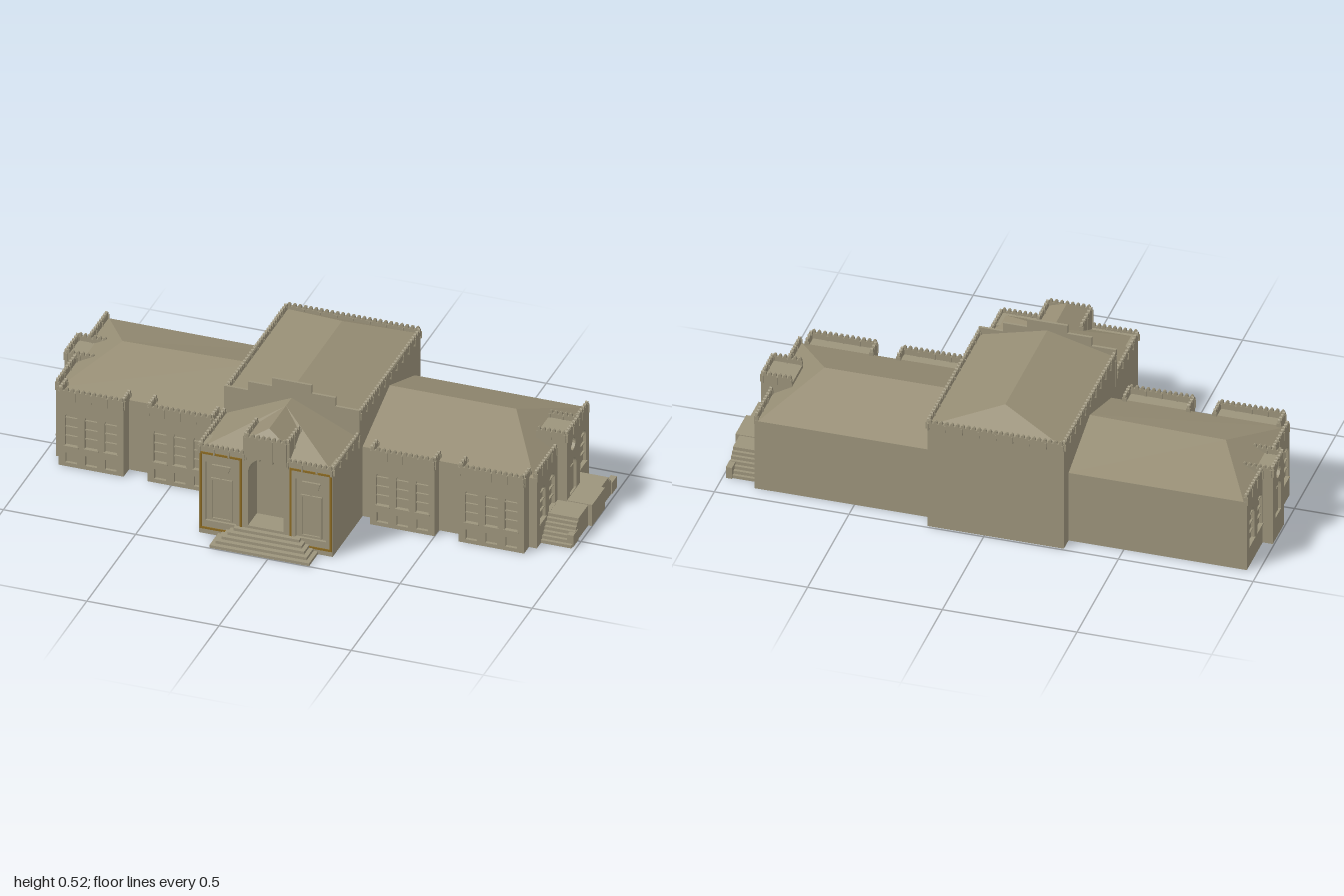
import * as THREE from 'three';

const stone = new THREE.MeshStandardMaterial({ color: 0x9c947c });
const roofMat = new THREE.MeshStandardMaterial({ color: 0x968d74, side: THREE.DoubleSide });
const gold = new THREE.MeshStandardMaterial({ color: 0x8c6a22 });
const CX = -0.042; // centre line of the hall and porch

function add(parent, name, geo, mat = stone) {
  const m = new THREE.Mesh(geo, mat);
  m.name = name;
  parent.add(m);
  return m;
}

// Box given by its limits
function block(parent, name, x0, x1, y0, y1, z0, z1, mat) {
  const g = new THREE.BoxGeometry(x1 - x0, y1 - y0, z1 - z0);
  g.translate((x0 + x1) / 2, (y0 + y1) / 2, (z0 + z1) / 2);
  return add(parent, name, g, mat);
}

const extrude = (shape, depth) =>
  new THREE.ExtrudeGeometry(shape, { depth, bevelEnabled: false, curveSegments: 8 });

function polygon(points) {
  return new THREE.Shape(points.map(([x, y]) => new THREE.Vector2(x, y)));
}

const rect = (x0, x1, y0, y1) => polygon([[x0, y0], [x1, y0], [x1, y1], [x0, y1]]);

// Round-headed opening centred on x
function arch(x, w, y0, y1) {
  const p = new THREE.Path(), r = w / 2;
  p.moveTo(x - r, y0);
  p.lineTo(x + r, y0);
  p.lineTo(x + r, y1 - r);
  p.absarc(x, y1 - r, r, 0, Math.PI, false);
  p.closePath();
  return p;
}

// Toothed parapet running from a to b in plan, with small brackets below
function parapet(parent, a, b, y0, y1, thick = 0.01) {
  const dx = b[0] - a[0], dz = b[1] - a[1], len = Math.hypot(dx, dz);
  const n = Math.max(2, Math.round(len / 0.02)), s = len / n, pts = [[0, y0], [len, y0]];
  for (let i = n - 1; i >= 0; i--) {
    const x = i * s;
    pts.push([x + s * 0.85, y1 - 0.012], [x + s * 0.75, y1 - 0.003], [x + s * 0.5, y1],
      [x + s * 0.25, y1 - 0.003], [x + s * 0.15, y1 - 0.012]);
  }
  const g = new THREE.Group();
  g.name = 'parapet';
  const wall = add(g, 'battlements', extrude(polygon(pts), thick));
  wall.position.z = -thick / 2;
  const k = Math.max(1, Math.round(len / 0.06));
  for (let i = 0; i <= k; i++) {
    const x = 0.004 + (len - 0.008) * i / k;
    block(g, 'bracket', x - 0.003, x + 0.003, y0 - 0.01, y1 - 0.015, -thick / 2 - 0.003, thick / 2 + 0.003);
  }
  g.position.set(a[0], 0, a[1]);
  g.rotation.y = Math.atan2(-dz, dx);
  parent.add(g);
}

// Hipped roof over a rectangle, ridge along 'x' or 'z' from r0 to r1
function hipRoof(parent, name, x0, x1, z0, z1, y, axis, r0, r1) {
  const p = [[x0, y, z0], [x1, y, z0], [x1, y, z1], [x0, y, z1], r0, r1];
  const faces = axis === 'x'
    ? [3, 2, 5, 3, 5, 4, 2, 1, 5, 1, 0, 4, 1, 4, 5, 0, 3, 4]
    : [2, 1, 4, 2, 4, 5, 1, 0, 4, 0, 3, 5, 0, 5, 4, 3, 2, 5];
  const g = new THREE.BufferGeometry();
  g.setAttribute('position', new THREE.Float32BufferAttribute(faces.flatMap(i => p[i]), 3));
  g.computeVertexNormals();
  add(parent, name, g, roofMat);
}

// Thin wall layer with openings; windows get glazing bars and sills
function facade(parent, x0, x1, h, windows, holes = [], depth = 0.012) {
  const g = new THREE.Group();
  g.name = 'facade';
  const shape = rect(x0, x1, 0, h);
  for (const w of windows) {
    shape.holes.push(arch(w.x, w.w, w.y0, w.y1));
    for (let i = 1; i <= 3; i++) {
      const y = w.y0 + (w.y1 - w.y0) * i * 0.27;
      block(g, 'glazingBar', w.x - w.w / 2, w.x + w.w / 2, y - 0.002, y + 0.002, 0, depth * 0.6);
    }
    block(g, 'sill', w.x - w.w / 2 - 0.004, w.x + w.w / 2 + 0.004, w.y0 - 0.006, w.y0, 0, depth + 0.004);
  }
  shape.holes.push(...holes);
  add(g, 'wallFace', extrude(shape, depth));
  parent.add(g);
  return g;
}

// Projecting front bay with three tall windows over three basement windows
function bay(parent, x0, x1, zBack, zFront) {
  const c = (x0 + x1) / 2, windows = [], holes = [];
  for (const i of [-1, 0, 1]) {
    const x = c + i * 0.075;
    windows.push({ x, w: 0.048, y0: 0.085, y1: 0.222 });
    holes.push(rect(x - 0.022, x + 0.022, 0.015, 0.055));
  }
  const g = new THREE.Group();
  g.name = 'frontBay';
  block(g, 'bayBody', x0, x1, 0, 0.285, zBack - 0.02, zFront - 0.012);
  facade(g, x0, x1, 0.285, windows, holes).position.z = zFront - 0.012;
  const zf = zFront - 0.004;
  parapet(g, [x0, zf], [x1, zf], 0.28, 0.32);
  for (const x of [x0 + 0.004, x1 - 0.004]) parapet(g, [x, zBack - 0.02], [x, zf], 0.28, 0.32);
  parent.add(g);
}

// Side wing: s is +1 or -1 for the end it faces
function wing(parent, s, xEnd, zFront, ridgeX, ridgeY, tower) {
  const g = new THREE.Group();
  g.name = s > 0 ? 'leftWing' : 'rightWing';
  const xIn = s > 0 ? 0.2 : -0.29, zBack = -0.435, zc = -0.178, eave = 0.285;
  const body = xEnd - s * 0.012;
  const [a, b] = s > 0 ? [xIn, body] : [body, xIn];
  block(g, 'wingBody', a, b, 0, eave, zBack, zFront);
  const ends = [[xIn, ridgeY + (s < 0 ? 0.01 : 0), zc], [ridgeX, ridgeY, zc]];
  hipRoof(g, 'wingRoof', a, b, zBack, zFront, eave, 'x', ...(s > 0 ? ends : ends.reverse()));

  // End wall: four arched windows either side of the entrance tower
  const wins = [0.04, -0.055, -0.28, -0.375].map(z => ({ x: -s * z, w: 0.058, y0: 0.085, y1: 0.222 }));
  const lim = [-s * zBack, -s * zFront].sort((m, n) => m - n);
  const end = facade(g, lim[0], lim[1], eave, wins);
  end.rotation.y = s * Math.PI / 2;
  end.position.x = body;
  const px = xEnd - s * 0.005;
  parapet(g, [px, zFront], [px, -0.11], 0.28, 0.318);
  parapet(g, [px, -0.245], [px, zBack], 0.28, 0.318);

  // Entrance tower with door and round window
  const { out, back, h } = tower, z0 = -0.245, z1 = -0.112;
  const core = out - s * 0.012;
  block(g, 'towerBody', Math.min(core, back), Math.max(core, back), 0, h - 0.03, z0, z1);
  const circle = new THREE.Path();
  circle.absarc(-s * zc, Math.min(0.285, h - 0.06), 0.024, 0, Math.PI * 2, false);
  const shape = facade(g, Math.min(-s * z0, -s * z1), Math.max(-s * z0, -s * z1), h - 0.03, [],
    [arch(-s * zc, 0.065, 0.09, 0.225), circle]);
  shape.rotation.y = s * Math.PI / 2;
  shape.position.x = core;
  block(g, 'door', core - 0.004, core + 0.004, 0.09, 0.19, zc - 0.024, zc + 0.024);
  const tx = out - s * 0.004;
  parapet(g, [tx, z0], [tx, z1], h - 0.035, h);
  for (const z of [z0 + 0.004, z1 - 0.004]) parapet(g, [back, z], [tx, z], h - 0.035, h);
  parent.add(g);
}

export function createModel() {
  const model = new THREE.Group();
  model.name = 'building';

  // Central hall with hipped roof
  const hall = new THREE.Group();
  hall.name = 'centralHall';
  block(hall, 'hallBody', -0.295, 0.211, 0, 0.425, -0.492, 0.135);
  hipRoof(hall, 'hallRoof', -0.295, 0.211, -0.492, 0.135, 0.425, 'z', [CX, 0.49, -0.375], [CX, 0.49, 0.135]);
  for (const x of [-0.294, 0.21]) parapet(hall, [x, -0.492], [x, 0.13], 0.42, 0.452);
  parapet(hall, [-0.295, -0.493], [0.211, -0.493], 0.42, 0.452);
  const steps = [[0.256, 0.455], [0.165, 0.49], [0.075, 0.523]];
  const outline = [[CX - 0.256, 0.3], [CX + 0.256, 0.3]];
  steps.forEach(([w, y], i) => outline.push([CX + w, i ? steps[i - 1][1] : 0.4], [CX + w, y]));
  [...steps].reverse().forEach(([w, y], i) => outline.push([CX - w, y], [CX - w, i < 2 ? steps[1 - i][1] : 0.4]));
  add(hall, 'steppedGable', extrude(polygon(outline), 0.01)).position.z = 0.131;
  model.add(hall);

  // Front porch with deep arched niche
  const porch = new THREE.Group();
  porch.name = 'frontPorch';
  block(porch, 'porchBody', -0.295, 0.211, 0, 0.345, 0.13, 0.315);
  const niche = () => arch(CX, 0.135, 0.065, 0.348);
  const front = rect(-0.295, 0.211, 0, 0.352);
  front.holes.push(niche());
  add(porch, 'nicheWall', extrude(front, 0.082)).position.z = 0.315;
  const skin = rect(-0.295, 0.211, 0, 0.352);
  skin.holes.push(niche());
  for (const s of [-1, 1]) skin.holes.push(rect(CX + s * 0.17 - 0.058, CX + s * 0.17 + 0.058, 0.055, 0.295));
  add(porch, 'porchFace', extrude(skin, 0.01)).position.z = 0.397;
  for (const s of [-1, 1]) {
    const x = CX + s * 0.17;
    const frame = rect(x - 0.08, x + 0.08, 0.02, 0.335);
    frame.holes.push(rect(x - 0.072, x + 0.072, 0.028, 0.327));
    add(porch, 'goldFrame', extrude(frame, 0.003), gold).position.z = 0.407;
    const panel = rect(x - 0.04, x + 0.04, 0.06, 0.23);
    panel.holes.push(rect(x - 0.033, x + 0.033, 0.067, 0.223));
    add(porch, 'doorFrame', extrude(panel, 0.006)).position.z = 0.397;
    const shield = polygon([[x, 0.23], [x + 0.025, 0.255], [x + 0.035, 0.285], [x - 0.035, 0.285], [x - 0.025, 0.255]]);
    add(porch, 'shield', extrude(shield, 0.008)).position.z = 0.397;
  }
  hipRoof(porch, 'porchRoof', -0.29, 0.206, 0.13, 0.4, 0.345, 'z', [CX, 0.457, 0.13], [CX, 0.457, 0.2]);
  hipRoof(porch, 'porchCap', CX - 0.075, CX + 0.075, 0.18, 0.4, 0.415, 'z', [CX, 0.457, 0.18], [CX, 0.457, 0.37]);
  for (const x of [-0.294, 0.21]) parapet(porch, [x, 0.14], [x, 0.405], 0.34, 0.37);
  for (const s of [-1, 1]) {
    parapet(porch, [CX + s * 0.08, 0.405], [CX + s * 0.253, 0.405], 0.34, 0.37);
    parapet(porch, [CX + s * 0.08, 0.28], [CX + s * 0.08, 0.405], 0.345, 0.442);
  }
  parapet(porch, [CX - 0.08, 0.405], [CX + 0.08, 0.405], 0.345, 0.442);
  for (let i = 0; i < 5; i++) {
    block(porch, 'frontStep', -0.222 + i * 0.016, 0.155 - i * 0.016, i * 0.011, (i + 1) * 0.011, 0.39, 0.497 - i * 0.018);
  }
  model.add(porch);

  // Wings and their front bays
  wing(model, 1, 0.87, 0.1, 0.69, 0.385, { out: 0.905, back: 0.79, h: 0.37 });
  wing(model, -1, -0.957, 0.08, -0.8, 0.362, { out: -0.995, back: -0.88, h: 0.325 });
  bay(model, -0.927, -0.68, 0.08, 0.135);
  bay(model, -0.59, -0.345, 0.08, 0.135);
  bay(model, 0.255, 0.5, 0.1, 0.145);
  bay(model, 0.592, 0.84, 0.1, 0.15);

  // Double stair and landing at the side entrance
  const stair = new THREE.Group();
  stair.name = 'sideStair';
  for (let i = 0; i < 7; i++) {
    block(stair, 'sideStep', 0.86, 0.985, i * 0.012, (i + 1) * 0.012, -0.395 + i * 0.012, 0.058 - i * 0.012);
  }
  block(stair, 'landing', 0.86, 1.0, 0, 0.087, -0.245, -0.115);
  for (const z of [-0.375, 0.02]) block(stair, 'pedestal', 0.965, 0.988, 0, 0.046, z - 0.026, z + 0.026);
  model.add(stair);

  return model;
}
